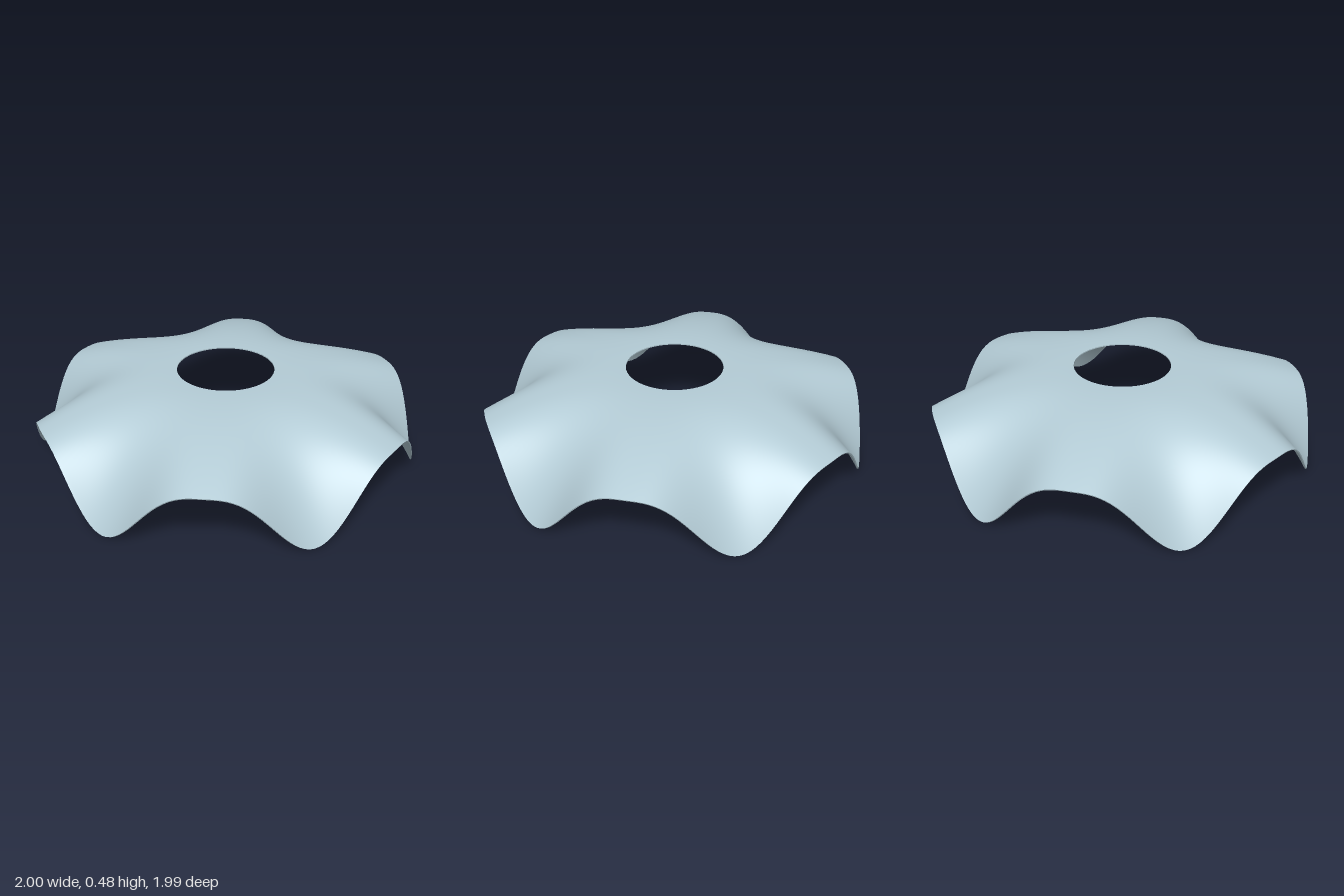
import * as THREE from 'three';

const HOLE = 0.255, RIM = 0.995, TOP = 0.474, THICK = 0.006;
const RIDGE_DROP = 0.146, FOLD_DROP = 0.328, FOLD_POWER = 3.5;
const SEGMENTS = 240, RINGS = 48;

// Point on the draped sheet; lift moves it along the surface normal.
// Six narrow folds (|cos 3a| cubed) deepen towards the rim, with broad ridges between.
function sheetPoint(t, angle, lift) {
  const span = RIM - HOLE;
  const r = HOLE + span * t;
  const wave = Math.cos(3 * angle);
  const fold = Math.abs(wave) ** 3;
  const depth = FOLD_DROP * t ** FOLD_POWER;
  const slopeR = -(2 * RIDGE_DROP * t + FOLD_POWER * FOLD_DROP * t ** (FOLD_POWER - 1) * fold) / span;
  const slopeA = (9 * depth * wave * Math.abs(wave) * Math.sin(3 * angle)) / r;
  const c = Math.cos(angle), s = Math.sin(angle);
  const normal = new THREE.Vector3(-slopeR * c + slopeA * s, 1, -slopeR * s - slopeA * c).normalize();
  const y = TOP - RIDGE_DROP * t * t - depth * fold;
  return new THREE.Vector3(r * c, y, r * s).addScaledVector(normal, lift);
}

// Closed shell from four ring strips; separate vertices keep the edges sharp
function shellGeometry() {
  const positions = [], indices = [];
  const strip = (rows, at) => {
    const base = positions.length / 3;
    for (let i = 0; i <= rows; i++) {
      const [t, lift] = at(i / rows);
      for (let j = 0; j < SEGMENTS; j++) {
        positions.push(...sheetPoint(t, (j / SEGMENTS) * Math.PI * 2, lift).toArray());
      }
    }
    for (let i = 0; i < rows; i++) {
      for (let j = 0; j < SEGMENTS; j++) {
        const k = (j + 1) % SEGMENTS;
        const a = base + i * SEGMENTS + j, b = base + i * SEGMENTS + k;
        const c = a + SEGMENTS, d = b + SEGMENTS;
        indices.push(a, b, c, b, d, c);
      }
    }
  };
  strip(RINGS, (u) => [u, THICK]);           // upper face
  strip(1, (u) => [1, THICK * (1 - u)]);     // wavy outer rim
  strip(RINGS, (u) => [1 - u, 0]);           // under face
  strip(1, (u) => [0, THICK * u]);           // hole wall

  const geometry = new THREE.BufferGeometry();
  geometry.setAttribute('position', new THREE.Float32BufferAttribute(positions, 3));
  geometry.setIndex(indices);
  geometry.computeVertexNormals();
  return geometry;
}

export function createModel() {
  const group = new THREE.Group();
  group.name = 'wavyCanopy';
  const material = new THREE.MeshStandardMaterial({ color: 0xb4ccd6 });
  material.name = 'pale blue grey';
  const shell = new THREE.Mesh(shellGeometry(), material);
  shell.name = 'scallopedShell';
  group.add(shell);
  return group;
}
